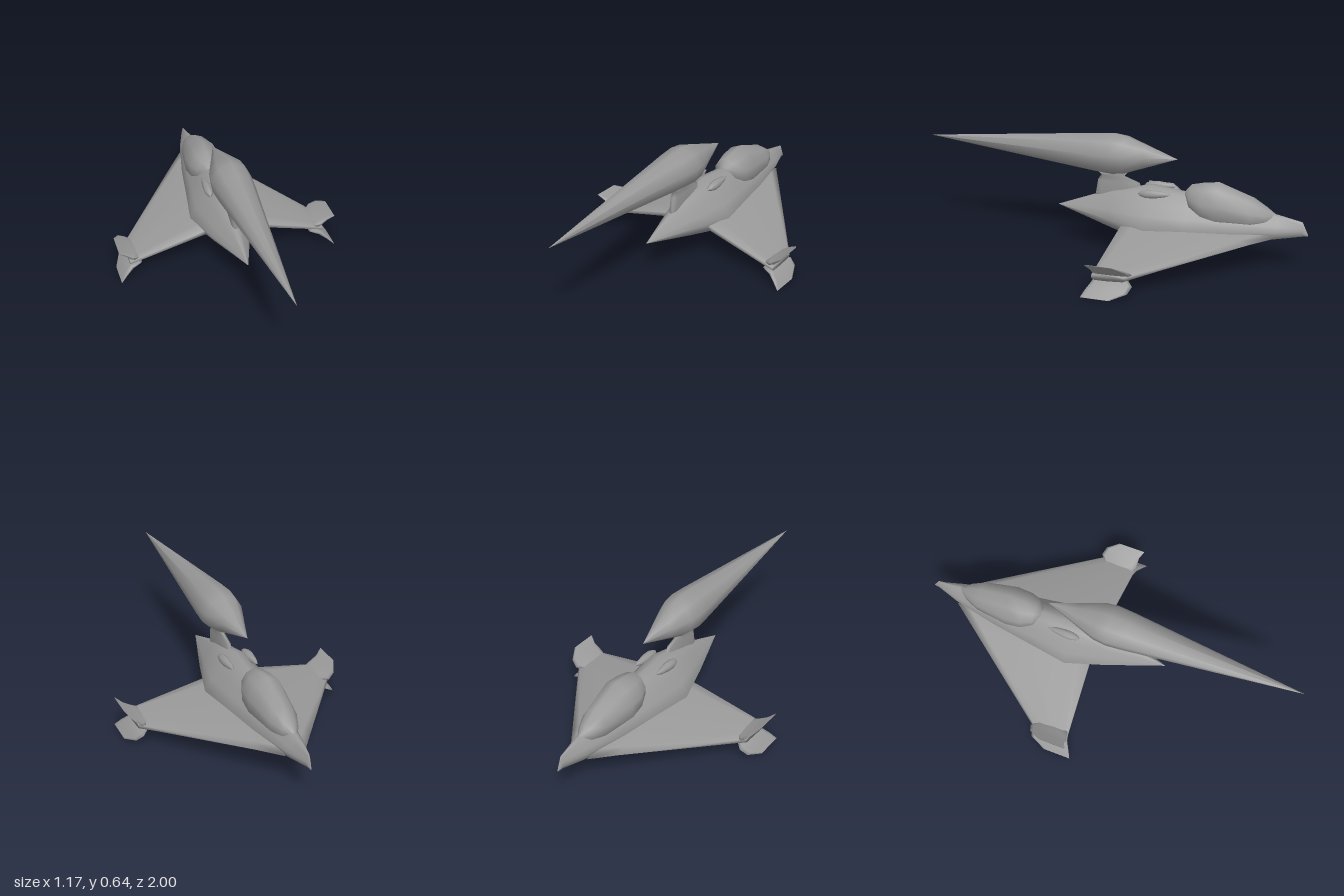
import * as THREE from 'three';

const material = new THREE.MeshStandardMaterial({ color: 0x999999 });

// Skin a list of closed rings (arrays of [x, y, z]), cap both ends, face outwards
function loft(rings) {
  const n = rings[0].length, pos = rings.flat(2), tris = [];
  for (let i = 0; i < rings.length - 1; i++) {
    for (let j = 0; j < n; j++) {
      const a = i * n + j, b = i * n + (j + 1) % n;
      tris.push([a, b, b + n], [a, b + n, a + n]);
    }
  }
  const last = (rings.length - 1) * n;
  for (let j = 1; j < n - 1; j++) tris.push([0, j + 1, j], [last, last + j, last + j + 1]);
  // Signed volume tells which way the faces point
  const v = i => new THREE.Vector3().fromArray(pos, i * 3);
  const volume = tris.reduce((s, [a, b, c]) => s + v(a).dot(v(b).cross(v(c))), 0);
  if (volume < 0) tris.forEach(t => t.reverse());
  const g = new THREE.BufferGeometry();
  g.setAttribute('position', new THREE.Float32BufferAttribute(pos, 3));
  g.setIndex(tris.flat());
  g.computeVertexNormals();
  return g;
}

// Hull section: round keel, widest at y = m, narrowing to a spine
const HULL = [[0, -1], [0.6, -0.77], [0.88, -0.42], [1, 0], [0.8, 0.32], [0.54, 0.62], [0.27, 0.92], [0, 1]];
function hullRing([z, w, b, m, t]) {
  const half = HULL.map(([x, y]) => [x * w, m + y * (y < 0 ? m - b : t - m), z]);
  const other = half.slice(1, -1).reverse().map(([x, y, zz]) => [-x, y, zz]);
  return [...half, ...other];
}

// Canopy section: an ellipse with its own depth above and below y = m
function ellipseRing([z, w, b, m, t]) {
  return Array.from({ length: 10 }, (_, i) => {
    const a = (i + 0.5) / 10 * Math.PI * 2, s = Math.sin(a);
    return [Math.cos(a) * w, m + s * (s < 0 ? m - b : t - m), z];
  });
}

// Aerofoil section: chord along z, thickness along (ux, uy)
const FOIL = [[0, 0], [0.08, 0.3], [0.5, 0.46], [0.9, 0.5], [1, 0.22], [1, -0.22], [0.9, -0.5], [0.5, -0.46], [0.08, -0.3]];
function foilRing(x, y, z0, z1, thick, ux, uy) {
  return FOIL.map(([c, h]) => [x + ux * h * thick, y + uy * h * thick, z0 + c * (z1 - z0)]);
}

// Spindle turned around the z axis from [radius, z] points
function spindle(points, sides) {
  return new THREE.LatheGeometry(points.map(([r, z]) => new THREE.Vector2(r, z)), sides).rotateX(Math.PI / 2);
}

export function createModel() {
  const model = new THREE.Group();
  model.name = 'spacecraft';
  const add = (name, geometry) => {
    const mesh = new THREE.Mesh(geometry, material);
    mesh.name = name;
    model.add(mesh);
    return mesh;
  };

  // Fuselage stations: z, half width, bottom, widest height, top
  add('fuselage', loft([
    [-1, 0.002, 0.198, 0.2, 0.204],
    [-0.97, 0.012, 0.193, 0.225, 0.27],
    [-0.85, 0.052, 0.165, 0.22, 0.295],
    [-0.62, 0.1, 0.115, 0.21, 0.335],
    [-0.4, 0.133, 0.097, 0.203, 0.362],
    [-0.2, 0.165, 0.08, 0.2, 0.383],
    [0, 0.105, 0.135, 0.21, 0.338],
    [0.295, 0.001, 0.219, 0.22, 0.221],
  ].map(hullRing)));

  // Canopy
  add('canopy', loft([
    [-0.84, 0.008, 0.27, 0.28, 0.294],
    [-0.79, 0.045, 0.235, 0.28, 0.328],
    [-0.72, 0.075, 0.22, 0.28, 0.372],
    [-0.55, 0.1, 0.21, 0.29, 0.434],
    [-0.47, 0.094, 0.235, 0.3, 0.422],
    [-0.41, 0.07, 0.28, 0.325, 0.407],
    [-0.38, 0.025, 0.325, 0.345, 0.37],
  ].map(ellipseRing)));

  // Long upper pod with its pylon
  add('upperPod', spindle([
    [0, -0.335], [0.06, -0.17], [0.098, -0.065], [0.106, 0], [0.099, 0.09], [0, 1],
  ], 9).rotateZ(0.3)).position.y = 0.53;

  add('pylon', loft([
    [0.27, -0.17, 0.095, 0.02],
    [0.31, -0.165, 0.09, 0.036],
    [0.385, -0.14, 0.077, 0.042],
    [0.412, -0.06, 0.06, 0.036],
    [0.445, -0.085, 0.09, 0.07],
  ].map(([y, z0, z1, t]) => foilRing(0, y, z0, z1, t, 1, 0))));

  for (const [side, s] of [['left', 1], ['right', -1]]) {
    // Drooping delta wing
    add(side + 'Wing', loft([
      foilRing(s * 0.05, 0.19, -0.85, -0.08, 0.06, 0, 1),
      foilRing(s * 0.14, 0.175, -0.73, -0.075, 0.052, 0, 1),
      foilRing(s * 0.525, 0.09, -0.22, -0.05, 0.034, 0, 1),
    ]));

    // Pair of splayed fins on the wing tip
    for (const [level, v] of [['Upper', 1], ['Lower', -1]]) {
      const shift = v > 0 ? -0.02 : 0;
      add(side + level + 'TipFin', loft([
        [0.47, 0.008, -0.21, -0.06, 0.034],
        [0.515, 0.03, -0.25, -0.05, 0.028],
        [0.55, 0.056, -0.235, -0.03 + shift, 0.016],
        [0.583, 0.086, -0.155 + shift, -0.012 + shift, 0.003],
      ].map(([x, dy, z0, z1, t]) => foilRing(s * x, 0.087 + v * dy, z0, z1, t, -s * 0.62, v * 0.78))));
    }

    // Small nacelle beside the spine
    const nacelle = add(side + 'Nacelle', spindle([
      [0, -0.09], [0.014, -0.055], [0.023, 0], [0.023, 0.04], [0.014, 0.07], [0, 0.085],
    ], 8));
    nacelle.position.set(s * 0.064, 0.357, -0.232);
    nacelle.rotation.x = 0.06;
  }
  return model;
}
